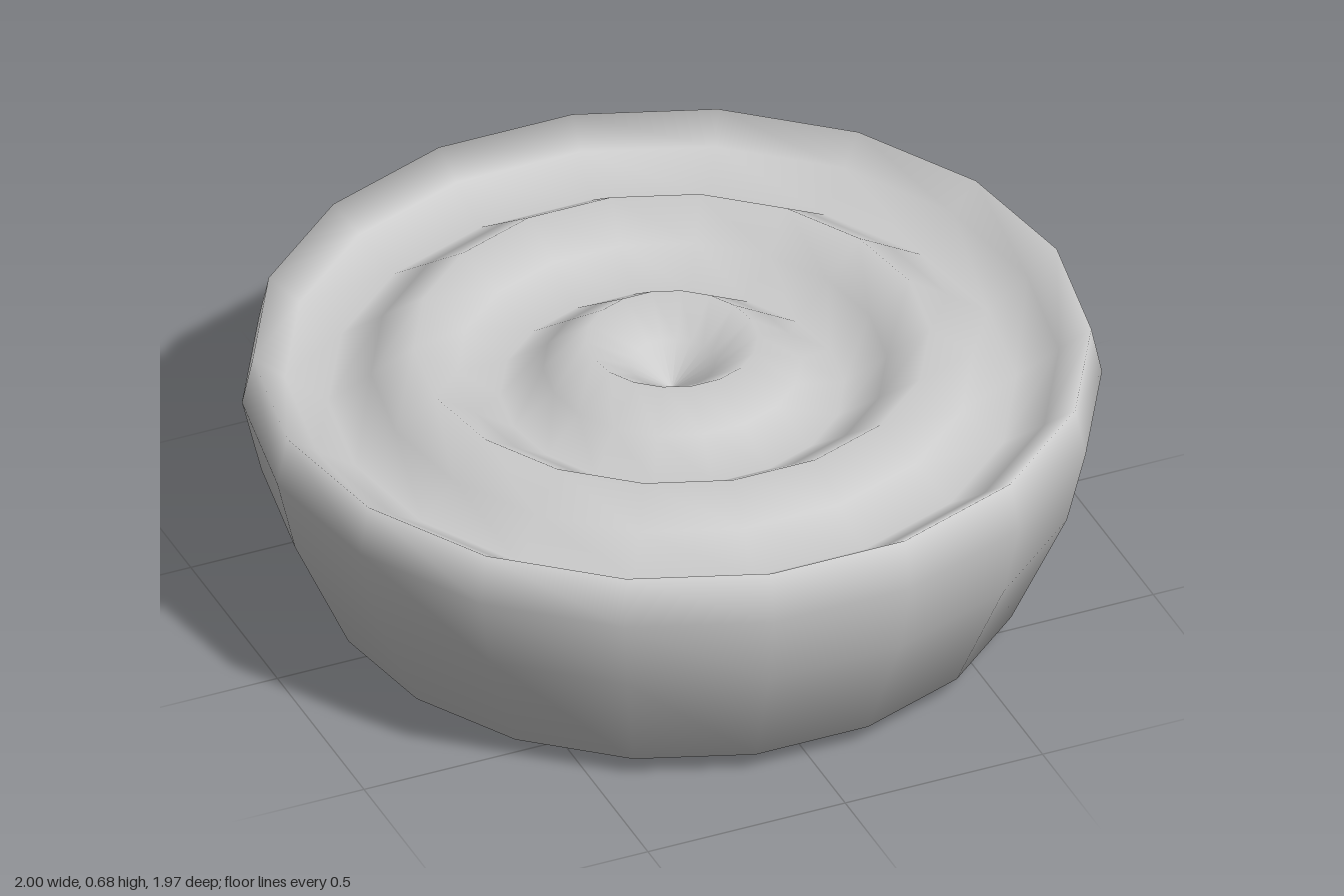
import * as THREE from 'three';

const SIDES = 18;

export function createModel() {
  const group = new THREE.Group();
  group.name = 'rippledDish';

  // Outer wall, from the shallow domed base up to the rim
  const profile = [
    [0, 0.005], [0.6, 0.02], [0.69, 0.03], [0.82, 0.06],
    [0.955, 0.36], [1, 0.55], [0.975, 0.67],
  ].map(([r, y]) => new THREE.Vector2(r, y));

  // Concentric ripples on top: crests at r = 0.2 and 0.6, hollows at 0, 0.4 and 0.8
  for (let i = 9; i >= 0; i--) {
    const r = i * 0.1;
    profile.push(new THREE.Vector2(r, 0.615 - 0.07 * Math.cos(r * Math.PI * 5)));
  }

  const dish = new THREE.Mesh(
    new THREE.LatheGeometry(profile, SIDES, Math.PI / 2),
    new THREE.MeshStandardMaterial({ color: 0xcccccc }),
  );
  dish.name = 'dish';
  group.add(dish);
  return group;
}
